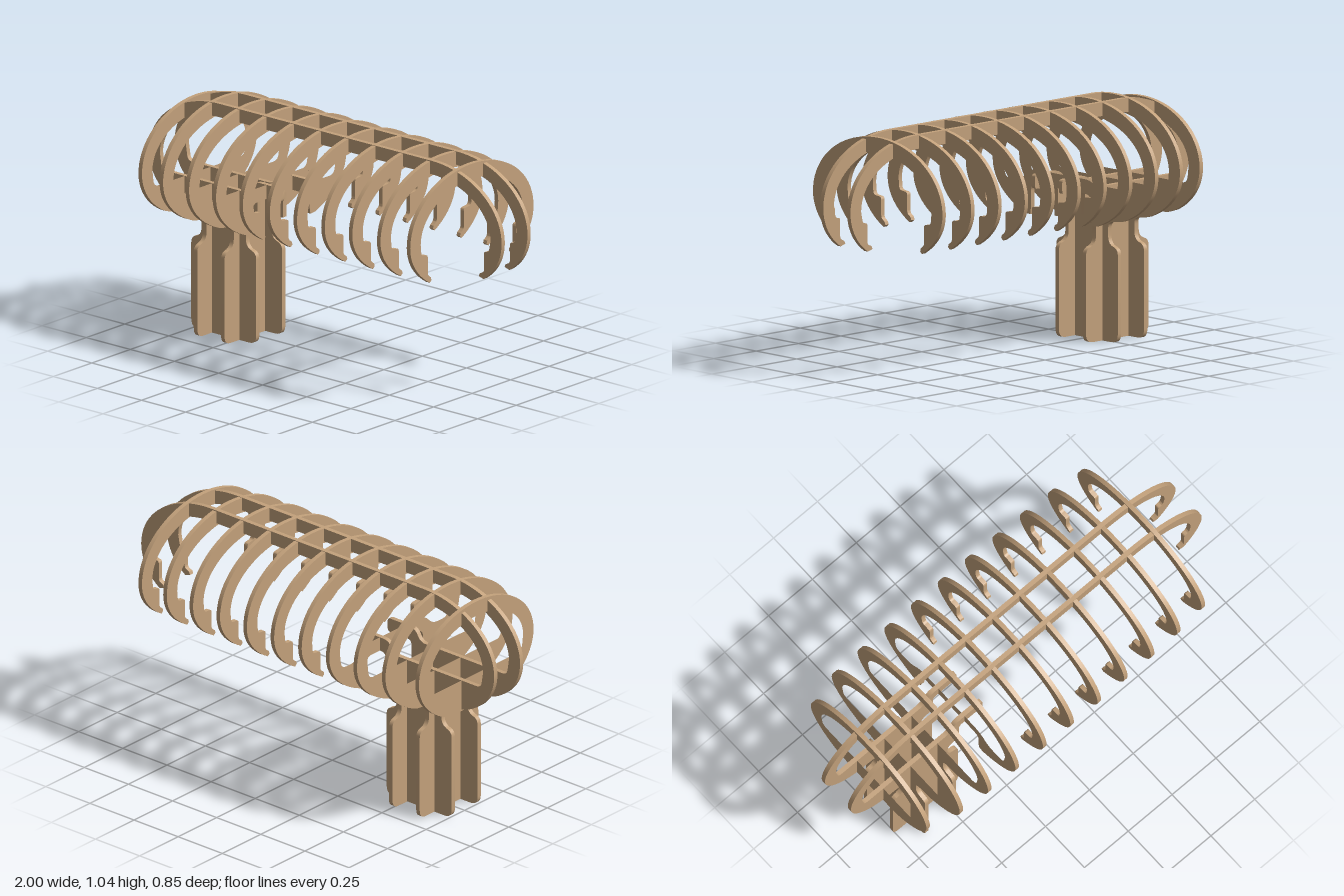
import * as THREE from 'three';
import { toCreasedNormals } from 'three/addons/utils/BufferGeometryUtils.js';

const MID = 0.745;      // height of the widest point of the body
const BAND = 0.068;     // width of the curved slats
const FLOOR = 0.67;     // height of the inner floor above the post
const POST_X = -0.575;

// Points along an elliptical arc, angles in degrees.
function arc(cx, a, b, from, to, n = 20) {
  return Array.from({ length: n + 1 }, (_, i) => {
    const t = THREE.MathUtils.degToRad(from + (to - from) * i / n);
    return new THREE.Vector2(cx + a * Math.cos(t), MID + b * Math.sin(t));
  });
}

// Polyline of [x, y, radius] with rounded corners.
function rounded(list) {
  const out = [];
  list.forEach(([x, y, r = 0], i) => {
    const p = new THREE.Vector2(x, y);
    if (!r) { out.push(p); return; }
    const toward = ([qx, qy]) => new THREE.Vector2(qx, qy).sub(p).setLength(r).add(p);
    const curve = new THREE.QuadraticBezierCurve(toward(list[i - 1]), p, toward(list[i + 1]));
    out.push(...curve.getPoints(6));
  });
  return out;
}

// Close a half outline that starts and ends on the centre line.
function mirrored(half) {
  const other = half.slice(1, -1).reverse().map(p => new THREE.Vector2(-p.x, p.y));
  return half.concat(other);
}

// Neck and base of the post, as seen on its right-hand side.
const neckAndBase = [
  [0.20, 0.528], [0.13, 0.52, 0.03], [0.13, 0.42, 0.04],
  [0.19, 0.41, 0.03], [0.19, 0, 0.04], [0, 0],
];

function sheet(points, holes, thickness) {
  const shape = new THREE.Shape(points);
  holes.forEach(h => shape.holes.push(new THREE.Path(h)));
  const geo = new THREE.ExtrudeGeometry(shape, { depth: thickness, bevelEnabled: false });
  geo.translate(0, 0, -thickness / 2);
  return toCreasedNormals(geo, 0.5);
}

// C-shaped rib, open underneath, with a stepped lip at each end.
function openRib(w, top) {
  const wi = w - BAND;
  return sheet(mirrored([
    ...arc(0, w, top - MID, 90, 0),
    ...arc(0, w, 0.25, 0, -47, 10).slice(1),
    ...rounded([
      [0.655 * w, 0.572], [0.665 * w, 0.585], [0.715 * w, 0.6, 0.012],
      [0.715 * w, 0.69, 0.012], [wi - 0.005, 0.695, 0.015], [wi, MID],
    ]),
    ...arc(0, wi, top - BAND - MID, 0, 90).slice(1),
  ]), [], 0.02);
}

// Closed rib: 'plain' ring, 'bridge' with a raised crossbar, or 'post' down to the ground.
function closedRib(w, top, kind) {
  const wi = w - BAND;
  const lowerEnd = -THREE.MathUtils.radToDeg(Math.acos(0.22 / w));
  const bottoms = {
    plain: [[0.17, 0.527], [0, 0.525]],
    bridge: [[0.19, 0.53], [0.185, 0.56], [0.185, 0.665, 0.035], [0, 0.665]],
    post: neckAndBase,
  };
  const floor = kind === 'bridge'
    ? [[wi, MID], [wi - 0.01, FLOOR, 0.03], [0.25, FLOOR, 0.03], [0.19, 0.728, 0.04], [0, 0.728]]
    : [[wi, MID], [wi - 0.01, FLOOR, 0.03], [0, FLOOR]];
  const outline = mirrored([
    ...arc(0, w, top - MID, 90, 0),
    ...arc(0, w, 0.25, 0, lowerEnd, 10).slice(1),
    ...rounded(bottoms[kind]),
  ]);
  const hole = mirrored([
    ...arc(0, wi, top - BAND - MID, 90, 0),
    ...rounded(floor).slice(1),
  ]);
  return sheet(outline, [hole], 0.02);
}

// Lengthwise slat: post, rounded rear, long top rail and curled nose.
function lengthSlat() {
  const side = s => neckAndBase.map(([x, y, r]) => [POST_X + s * x * 0.97, y, r]);
  return sheet([
    ...rounded(side(-1)).reverse(),
    ...arc(-0.75, 0.25, 0.22, -95, -180),
    ...arc(-0.6, 0.4, 0.29, 180, 90).slice(1),
    ...arc(0.6, 0.4, 0.29, 90, 0),
    ...arc(0.75, 0.25, 0.22, 0, -54, 10).slice(1),
    ...rounded([
      [0.87, 0.575], [0.875, 0.588], [0.9, 0.6, 0.01],
      [0.9, 0.69, 0.01], [0.927, 0.695, 0.012], [0.937, MID],
    ]),
    ...arc(0.6, 0.337, 0.23, 0, 90).slice(1),
    ...arc(-0.6, 0.337, 0.23, 90, 180),
    ...rounded([
      [-0.937, MID], [-0.925, FLOOR, 0.025], [-0.435, FLOOR, 0.03], [-0.405, 0.728, 0.035],
      [-0.25, 0.728, 0.015], [-0.25, 0.665, 0.015], [-0.385, 0.665, 0.025], [-0.385, 0.53],
    ]).slice(1),
    ...rounded(side(1)).slice(1, -1),
  ], [], 0.021);
}

export function createModel() {
  const model = new THREE.Group();
  model.name = 'slattedFrame';
  const wood = new THREE.MeshStandardMaterial({ color: 0xc4a27c });
  wood.name = 'plywood';

  for (const s of [1, -1]) {
    const slat = new THREE.Mesh(lengthSlat(), wood);
    slat.name = s > 0 ? 'frontLengthSlat' : 'backLengthSlat';
    slat.position.z = s * 0.084;
    model.add(slat);
  }

  // Half width, top height and kind of each rib, rear to nose
  const ribs = [
    [0.372, 1.01, 'plain'], [0.412, 1.038, 'post'], [0.42, 1.04, 'post'], [0.422, 1.04, 'bridge'],
    [0.425, 1.04], [0.427, 1.04], [0.427, 1.04], [0.424, 1.04], [0.422, 1.04], [0.416, 1.038], [0.4, 1.03],
  ];
  ribs.forEach(([w, top, kind], i) => {
    const rib = new THREE.Mesh(kind ? closedRib(w, top, kind) : openRib(w, top), wood);
    rib.name = `${kind || 'open'}Rib${i + 1}`;
    rib.rotation.y = -Math.PI / 2;
    rib.position.x = -0.806 + i * 0.1545;
    model.add(rib);
  });
  return model;
}
